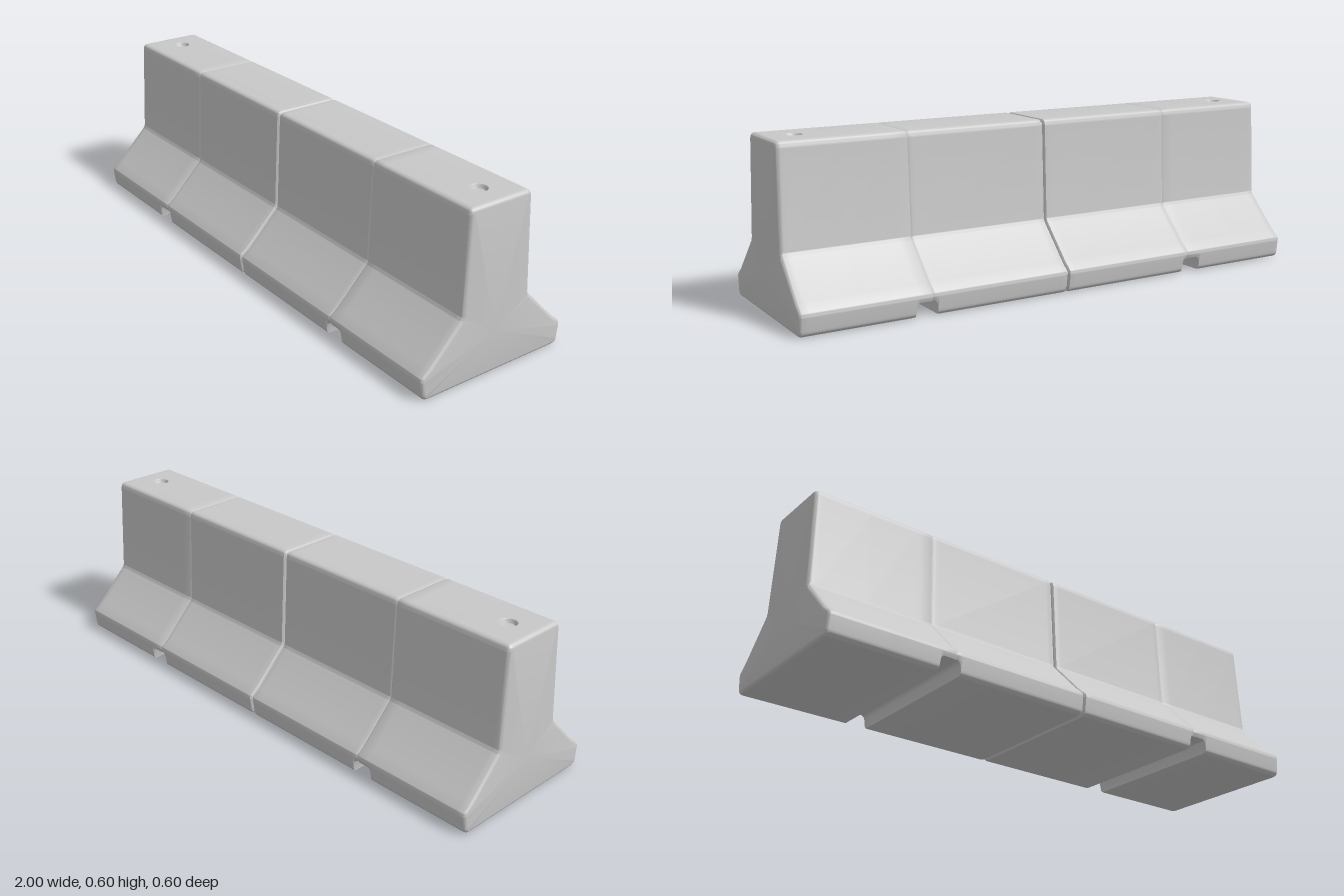
import * as THREE from 'three';
import { toCreasedNormals } from 'three/addons/utils/BufferGeometryUtils.js';

const TOP = 0.598, FLAT = 0.108;   // top height, half width of the flat top
const PATCH = [0.78, 0.965];       // x range of the top panel that holds the pin socket
const SOCKET_X = 0.885, SOCKET_R = 0.031;

// Closed cross-section: up the front (+z), over the top, down the back
function makeProfile() {
  const path = new THREE.Path();
  path.moveTo(0.268, 0);
  path.quadraticCurveTo(0.291, 0, 0.293, 0.022);
  path.lineTo(0.299, 0.066);
  path.quadraticCurveTo(0.301, 0.08, 0.291, 0.087);
  path.lineTo(0.265, 0.108);
  path.lineTo(0.148, 0.229);
  path.quadraticCurveTo(0.141, 0.236, 0.1405, 0.246);
  path.lineTo(0.127, 0.574);
  path.quadraticCurveTo(0.126, TOP, FLAT, TOP);
  const half = path.getPoints(6);
  const back = half.map(p => new THREE.Vector2(-p.x, p.y)).reverse();
  return { loop: [...half, ...back], topEdge: half.length - 1 };
}

// Stations along one half: [x, inset of the section, height of the underside]
function makeStations() {
  const half = [
    [0.003, 0.012, 0], [0.005, 0.005, 0], [0.008, 0.0015, 0], [0.014, 0, 0], [0.03, 0, 0],
    [0.508, 0, 0], [0.514, 0, 0.004], [0.517, 0, 0.04], [0.521, 0, 0.049], [0.527, 0, 0.053],
    [0.531, 0.002, 0.053], [0.534, 0.003, 0.053], [0.537, 0.002, 0.053], [0.541, 0, 0.053],
    [0.581, 0, 0.053], [0.588, 0, 0.049], [0.592, 0, 0.04], [0.595, 0, 0.004], [0.601, 0, 0],
    [PATCH[0], 0, 0], [PATCH[1], 0, 0],
  ];
  const r = 0.014;                 // rounded end edge
  for (let i = 0; i <= 5; i++) {
    const a = i / 5 * Math.PI / 2;
    half.push([1 - r + r * Math.sin(a), r * (1 - Math.cos(a)), 0]);
  }
  return [...half.map(([x, inset, lift]) => [-x, inset, lift]).reverse(), ...half];
}

// Loft the section through all stations, leaving out the two socket panels
function makeBody() {
  const { loop, topEdge } = makeProfile();
  const stations = makeStations();
  const n = loop.length;
  const normals = loop.map((p, j) => {
    const a = loop[(j + n - 1) % n], b = loop[(j + 1) % n];
    const inDir = p.clone().sub(a).normalize(), outDir = b.clone().sub(p).normalize();
    const t = inDir.add(outDir).normalize();
    return new THREE.Vector2(t.y, -t.x);
  });
  // the ends lean slightly inward toward the top
  const lean = (x, y) => Math.abs(x) > 0.975 ? x - Math.sign(x) * 0.01 * y / TOP : x;
  const pos = [], index = [];
  for (const [x, inset, lift] of stations) {
    loop.forEach((p, j) => {
      const y = Math.max(p.y - normals[j].y * inset, lift);
      pos.push(lean(x, y), y, p.x - normals[j].x * inset);
    });
  }
  const inPatch = x => Math.abs(x) >= PATCH[0] && Math.abs(x) <= PATCH[1];
  for (let i = 0; i < stations.length - 1; i++) {
    const patched = inPatch(stations[i][0]) && inPatch(stations[i + 1][0]);
    for (let j = 0; j < n; j++) {
      if (patched && j === topEdge) continue;
      const k = (j + 1) % n;
      const a = i * n + j, b = i * n + k, c = b + n, d = a + n;
      index.push(a, d, c, a, c, b);
    }
  }
  // end caps, fanned from a point inside the section
  const last = (stations.length - 1) * n;
  const centre = pos.length / 3;
  pos.push(lean(-1, 0.15), 0.15, 0, lean(1, 0.15), 0.15, 0);
  for (let j = 0; j < n; j++) {
    const k = (j + 1) % n;
    index.push(centre, j, k, centre + 1, last + k, last + j);
  }
  const geo = new THREE.BufferGeometry();
  geo.setAttribute('position', new THREE.Float32BufferAttribute(pos, 3));
  geo.setIndex(index);
  return toCreasedNormals(geo, 0.6);
}

// Flat top panel with a round opening
function makePanel(side) {
  const [x0, x1] = side > 0 ? PATCH : [-PATCH[1], -PATCH[0]];
  const shape = new THREE.Shape([
    new THREE.Vector2(x0, -FLAT), new THREE.Vector2(x1, -FLAT),
    new THREE.Vector2(x1, FLAT), new THREE.Vector2(x0, FLAT),
  ]);
  const hole = new THREE.Path();
  hole.absarc(side * SOCKET_X, 0, SOCKET_R, 0, Math.PI * 2, true);
  shape.holes.push(hole);
  return new THREE.ShapeGeometry(shape, 24).rotateX(-Math.PI / 2);
}

export function createModel() {
  const concrete = new THREE.MeshStandardMaterial({ color: 0xc8c8c8 });
  concrete.name = 'concrete grey';
  const group = new THREE.Group();
  group.name = 'roadBarrier';
  const add = (name, geo, x = 0, y = 0) => {
    const mesh = new THREE.Mesh(geo, concrete);
    mesh.name = name;
    mesh.position.set(x, y, 0);
    group.add(mesh);
  };

  add('barrierBody', makeBody());

  // shallow pin sockets near both ends of the top
  const cup = [[SOCKET_R, 0], [0.028, -0.003], [0.026, -0.012], [0.022, -0.015], [0, -0.015]]
    .map(([r, y]) => new THREE.Vector2(r, y));
  for (const [side, label] of [[1, 'left'], [-1, 'right']]) {
    add(label + 'TopPanel', makePanel(side), 0, TOP);
    add(label + 'PinSocket', new THREE.LatheGeometry(cup, 24), side * SOCKET_X, TOP);
  }
  return group;
}
